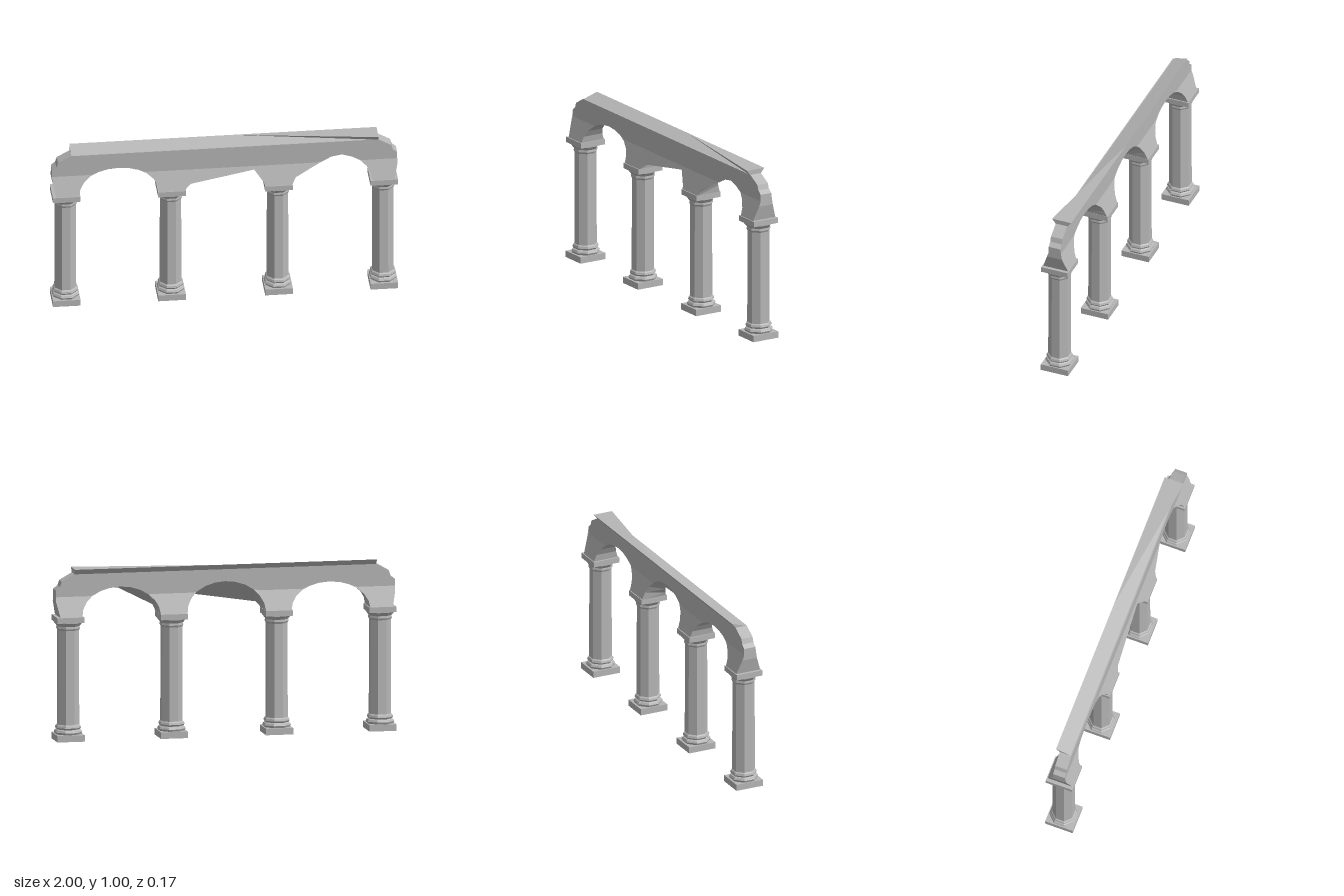
import * as THREE from 'three';

const stone = new THREE.MeshStandardMaterial({ color: 0xb6b6b6, flatShading: true, side: THREE.DoubleSide });
stone.name = 'grey stone';

function mesh(name, geometry, x = 0, y = 0) {
  const m = new THREE.Mesh(geometry, stone);
  m.name = name;
  m.position.set(x, y, 0);
  return m;
}

// Flat faceted geometry from polygons (each a list of corners, counter-clockwise)
function polygons(list) {
  const out = [];
  for (const p of list)
    for (let i = 1; i < p.length - 1; i++) out.push(...p[0], ...p[i], ...p[i + 1]);
  const g = new THREE.BufferGeometry();
  g.setAttribute('position', new THREE.Float32BufferAttribute(out, 3));
  g.computeVertexNormals();
  return g;
}

// Eight-sided turned piece from [radius, y] pairs
function turned(profile) {
  return new THREE.LatheGeometry(profile.map(([r, y]) => new THREE.Vector2(r, y)), 8, Math.PI / 8);
}

function column(x) {
  const g = new THREE.Group();
  g.name = 'column';
  g.position.x = x;
  g.add(mesh('plinth', new THREE.BoxGeometry(0.16, 0.038, 0.17), 0, 0.019));
  g.add(mesh('base', turned([[0.078, 0.038], [0.084, 0.05], [0.078, 0.061], [0.07, 0.066],
    [0.077, 0.076], [0.073, 0.088], [0.063, 0.097]])));
  g.add(mesh('shaft', turned([[0.066, 0.09], [0.064, 0.65]])));
  g.add(mesh('capital', turned([[0.062, 0.64], [0.07, 0.655], [0.068, 0.668], [0.084, 0.688], [0.084, 0.7]])));
  g.add(mesh('abacus', new THREE.BoxGeometry(0.16, 0.032, 0.164), 0, 0.708));
  return g;
}

// Piecewise linear lookup through [x, y] points
function along(points, x) {
  for (let i = 0; i < points.length - 1; i++) {
    const [x0, y0] = points[i], [x1, y1] = points[i + 1];
    if (x <= x1) return y0 + (y1 - y0) * Math.max(0, (x - x0) / (x1 - x0));
  }
  return points[points.length - 1][1];
}

const SPRING = 0.722, SPAN = 0.232;
const arches = [[-0.615, 0.155], [0, 0.178], [0.62, 0.168]]; // centre, rise

// Underside heights: regular arches behind, partly straight lower edges in front
function backEdge(x) {
  for (const [c, rise] of arches) {
    const t = Math.abs(x - c) / SPAN;
    if (t < 1) return SPRING + rise * Math.sqrt(1 - t * t);
  }
  return along([[-1, 0.81], [-0.98, SPRING], [0.98, SPRING], [1, 0.81]], x);
}
const middleChord = [[-0.24, SPRING], [-0.2, 0.76], [0.17, 0.82], [0.24, SPRING]];
const sideChord = [[0.385, SPRING], [0.41, 0.765], [0.64, 0.885]];
function frontEdge(x) {
  if (Math.abs(x) < 0.235) return Math.min(backEdge(x), along(middleChord, x));
  if (x > 0.385 && x < 0.63) return Math.min(backEdge(x), along(sideChord, x));
  return backEdge(x);
}
const topEdge = (x) => along([[-1, 0.88], [-0.975, 0.9], [-0.965, 0.93], [-0.89, 0.972],
  [0.89, 0.972], [0.965, 0.93], [0.975, 0.9], [1, 0.88]], x);

// Wall thickens toward the springing of the arches
const halfDepth = (y) => 0.036 + 0.042 * Math.max(0, (0.84 - y) / 0.12);

function arcadeWall() {
  const xs = [-1, -0.98, -0.975, -0.965, -0.89, 0.89, 0.965, 0.975, 0.98, 1, -0.2, 0.17, 0.41];
  for (const [c] of arches)
    for (let i = 0; i <= 12; i++) xs.push(c - SPAN * Math.cos((i / 12) * Math.PI));
  xs.sort((a, b) => a - b);
  const rings = xs.map((x) => {
    const b = backEdge(x), f = frontEdge(x), t = topEdge(x);
    const mid = (y) => Math.min(t, Math.max(0.84, y));
    return [[b, -1], [mid(b), -1], [t, -1], [t, 1], [mid(f), 1], [f, 1]]
      .map(([y, s]) => [x, y, s * halfDepth(y)]);
  });
  const faces = [[...rings[0]].reverse(), rings[rings.length - 1]];
  for (let i = 0; i < rings.length - 1; i++)
    for (let k = 0; k < 6; k++) {
      const n = (k + 1) % 6;
      faces.push([rings[i][k], rings[i][n], rings[i + 1][n], rings[i + 1][k]]);
    }
  return polygons(faces);
}

// Cornice: sloping top that turns into an overhanging ledge toward one end
function cornice() {
  const e = 0.89, lo = 0.97, o = 0.059, w = 0.036;
  const A = [-e, 1, -o], B = [0.05, 1, -o], C = [e, 1, -o], D = [e, 1, o];
  const E = [e, lo, w], F = [-e, lo, w], G = [-e, lo, -w], H = [e, lo, -w];
  return polygons([[A, F, E, B], [B, D, C], [B, E, D], [C, H, G, A], [A, G, F], [C, D, E, H], [F, G, H, E]]);
}

export function createModel() {
  const model = new THREE.Group();
  model.name = 'arcade';
  for (const x of [-0.92, -0.31, 0.31, 0.92]) model.add(column(x));
  model.add(mesh('arcadeWall', arcadeWall()));
  model.add(mesh('cornice', cornice()));
  return model;
}
